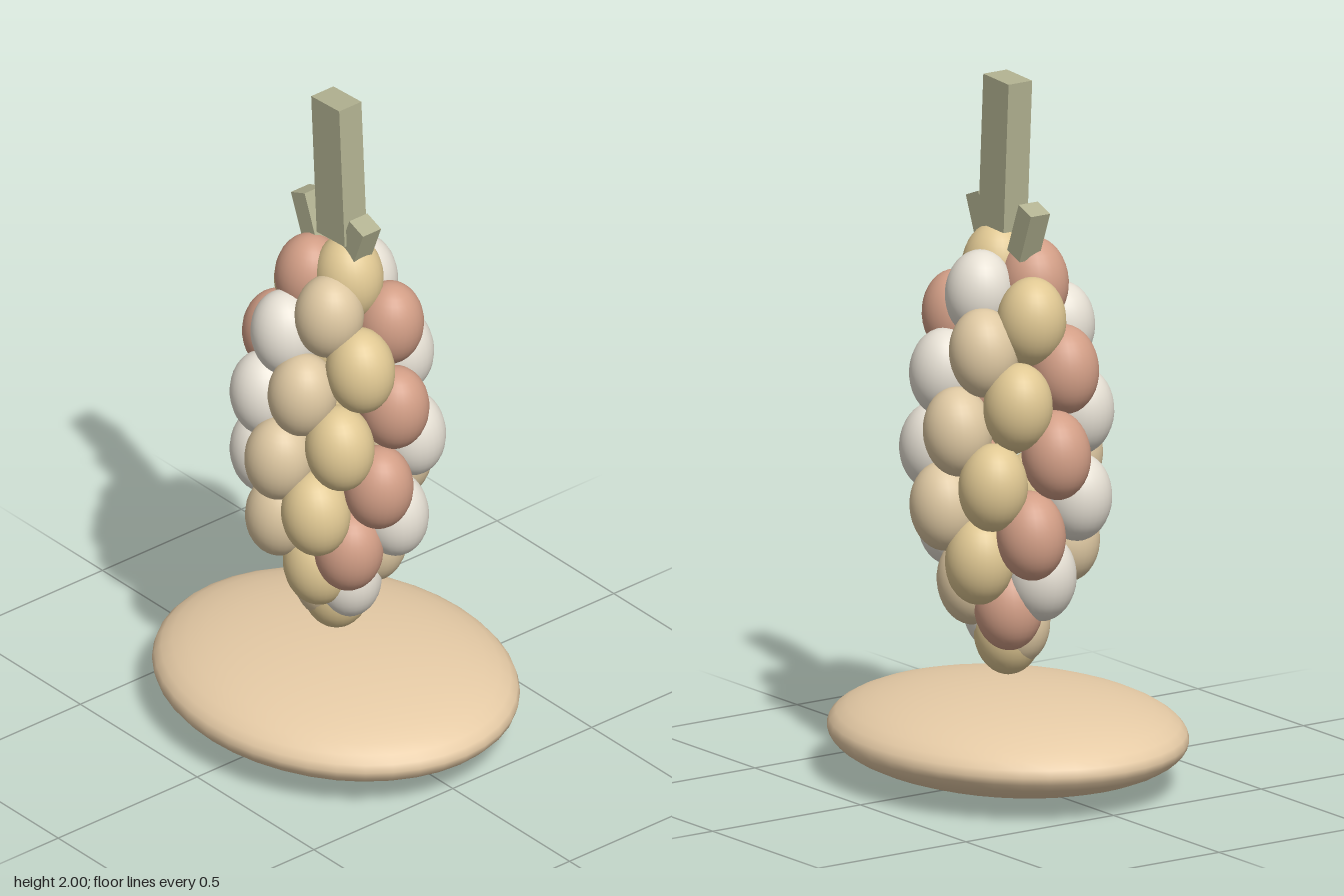
import * as THREE from 'three';

const mat = (color) => new THREE.MeshStandardMaterial({ color });

export function createModel() {
  const model = new THREE.Group();
  const add = (parent, name, geometry, material, x, y, z) => {
    const mesh = new THREE.Mesh(geometry, material);
    mesh.name = name;
    mesh.position.set(x, y, z);
    parent.add(mesh);
    return mesh;
  };

  // Flat oval base
  const base = add(model, 'base', new THREE.SphereGeometry(1, 40, 20), mat(0xe6cba6), 0, 0.136, 0);
  base.scale.set(0.56, 0.135, 0.467);

  // Cluster of berries on a golden-angle spiral, from the top down
  const cluster = new THREE.Group();
  cluster.name = 'berryCluster';
  model.add(cluster);
  const berryGeometry = new THREE.SphereGeometry(1, 28, 18);
  const colors = [0xe0c893, 0xd29e86, 0xe6e0d4, 0xdec8a2].map(mat);
  const profile = [0.055, 0.157, 0.19, 0.21, 0.22, 0.213, 0.175, 0.1, 0];
  const radiusAt = (t) => {
    const k = Math.min(Math.floor(t * 8), 7);
    return THREE.MathUtils.lerp(profile[k], profile[k + 1], t * 8 - k);
  };
  const goldenAngle = Math.PI * (3 - Math.sqrt(5));
  const last = 36;
  for (let i = 0; i <= last; i++) {
    const t = i / last;
    const r = radiusAt(t);
    const a = i * goldenAngle;
    const berry = add(cluster, 'berry', berryGeometry, colors[i % 4],
      r * Math.cos(a), 1.45 - 1.025 * t, 0.9 * r * Math.sin(a));
    berry.scale.set(0.098, 0.125, 0.095);
    if (i < last) berry.rotation.z = i % 2 ? -0.1 : 0.1;
  }

  // Square stem with a short twig on each side
  const green = mat(0xb2b291);
  const stem = add(model, 'stem', new THREE.BoxGeometry(0.12, 0.428, 0.08), green, 0.013, 1.783, 0);
  stem.rotation.z = 0.055;
  for (const s of [1, -1]) {
    const twig = add(model, s > 0 ? 'leftTwig' : 'rightTwig',
      new THREE.BoxGeometry(0.063, 0.15, 0.065), green, s * 0.098, 1.577, 0);
    twig.rotation.z = -s * 0.37;
  }
  return model;
}
